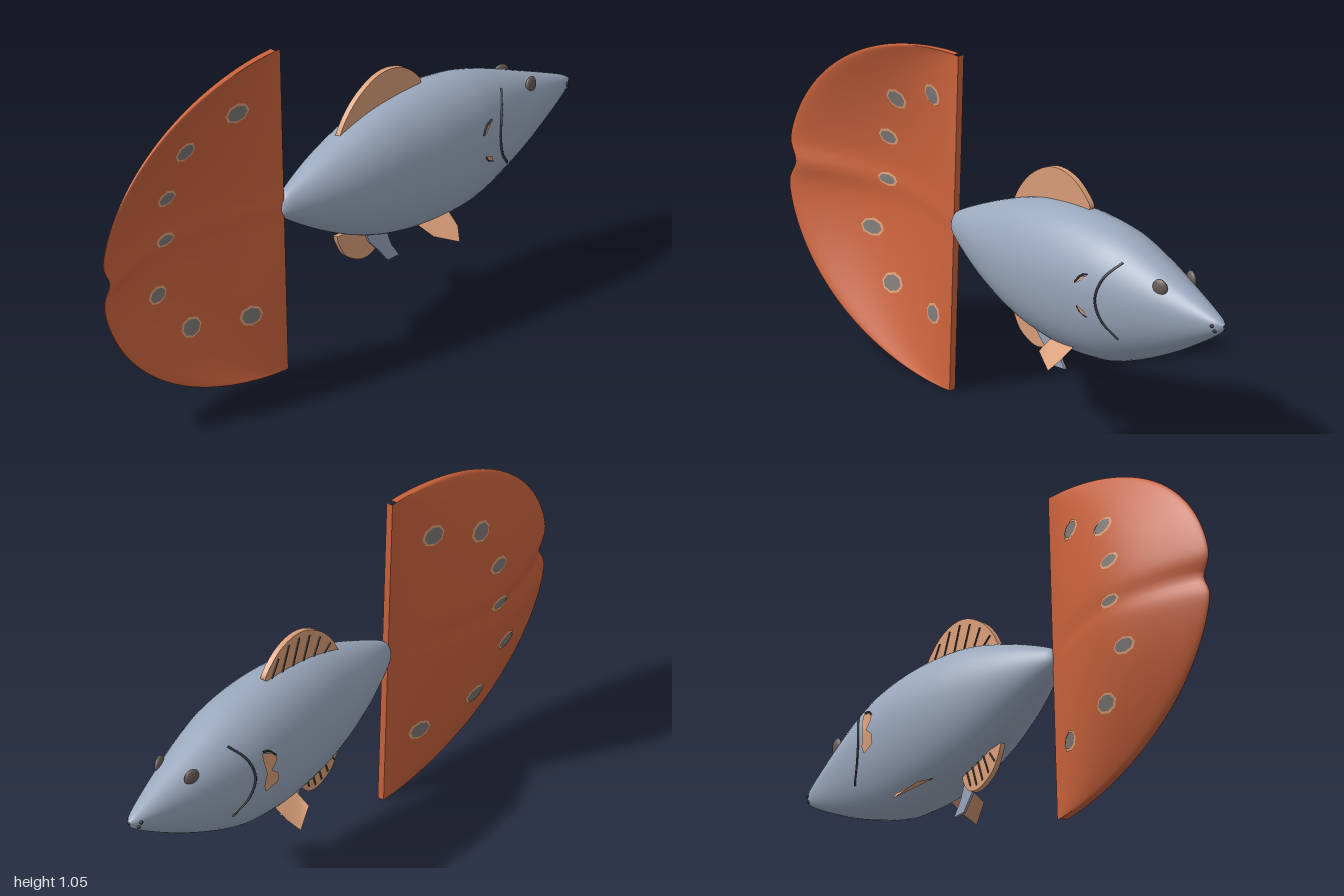
import * as THREE from 'three';
import { ParametricGeometry } from 'three/addons/geometries/ParametricGeometry.js';

const mat = (name, color, side = THREE.FrontSide) => {
  const m = new THREE.MeshStandardMaterial({ color, side });
  m.name = name;
  return m;
};
const V = (x, y, z) => new THREE.Vector3(x, y, z);

// Body stations: x, top, bottom, half width
const STATIONS = [
  [-0.245, 0.535, 0.525, 0.004], [-0.235, 0.562, 0.502, 0.022], [-0.2, 0.585, 0.475, 0.042],
  [-0.1, 0.63, 0.415, 0.08], [0, 0.668, 0.365, 0.108], [0.1, 0.7, 0.325, 0.128],
  [0.2, 0.72, 0.3, 0.142], [0.35, 0.73, 0.282, 0.152], [0.5, 0.718, 0.29, 0.147],
  [0.6, 0.695, 0.317, 0.131], [0.7, 0.66, 0.355, 0.108], [0.8, 0.62, 0.4, 0.08],
  [0.9, 0.58, 0.453, 0.049], [0.97, 0.55, 0.494, 0.024], [1, 0.532, 0.518, 0.004],
];
const MID = 0.528;
const sizes = new THREE.CatmullRomCurve3(STATIONS.map(s => V(s[1], s[2], s[3])), false, 'catmullrom', 0.5);
const along = new THREE.CatmullRomCurve3(STATIONS.map(s => V(s[0], 0, 0)), false, 'catmullrom', 0.5);

// Half width of the body at a given x and y
function bodyZ(x, y) {
  let lo = 0, hi = 1;
  for (let i = 0; i < 30; i++) {
    const t = (lo + hi) / 2;
    if (along.getPoint(t).x < x) lo = t; else hi = t;
  }
  const s = sizes.getPoint(lo);
  const r = y > MID ? s.x - MID : MID - s.y;
  return s.z * Math.sqrt(Math.max(0, 1 - ((y - MID) / r) ** 2));
}

// Tail fin: straight front edge, round notched rear edge, billowing towards -z
const EDGE = -0.235, TAIL_Y = 0.53, TAIL_R = 0.525, HALF = 0.011;
const tailWidth = v => 0.775 * Math.sqrt(Math.max(0, 1 - v * v)) - 0.035 * Math.exp(-((v / 0.08) ** 2));
const tailZ = (u, v) => -0.017 * v - Math.sin(Math.PI * u) *
  (0.102 * Math.cos(v * Math.PI / 2) - 0.01 * (1 - u) * Math.exp(-((v / 0.07) ** 2)));

export function createModel() {
  const skin = mat('blue grey skin', 0x9aa8bd);
  const greyFin = mat('grey fin', 0x98a3b8, THREE.DoubleSide);
  const orange = mat('orange tail', 0xc9623c);
  const tan = mat('tan fin', 0xd99e78, THREE.DoubleSide);
  const spotGrey = mat('grey spot', 0x7b7775, THREE.DoubleSide);
  const eyeBrown = mat('eye brown', 0x675c58);
  const dark = mat('dark line', 0x363a42);
  const rayBrown = mat('ray brown', 0x5a4336);

  const model = new THREE.Group();
  const add = (name, geometry, material) => {
    const mesh = new THREE.Mesh(geometry, material);
    mesh.name = name;
    model.add(mesh);
    return mesh;
  };

  // Body
  add('body', new ParametricGeometry((u, v, p) => {
    const s = sizes.getPoint(u), a = v * Math.PI * 2, sn = Math.sin(a);
    p.set(along.getPoint(u).x, MID + sn * (sn > 0 ? s.x - MID : MID - s.y), s.z * Math.cos(a));
  }, 70, 48), skin);

  // Tail faces, closed at the rear by a rounded rim
  for (const side of [1, -1]) {
    add(side > 0 ? 'tailFront' : 'tailBack', new ParametricGeometry((s, t, p) => {
      const u = Math.sin((side > 0 ? 1 - s : s) * Math.PI / 2);
      const v = 0.9997 * Math.sin((t - 0.5) * Math.PI);
      const h = HALF * Math.sqrt(Math.max(0, 1 - u ** 24));
      p.set(EDGE - u * tailWidth(v), TAIL_Y + TAIL_R * v, tailZ(u, v) + side * h);
    }, 36, 90), orange);
  }
  add('tailEdge', new ParametricGeometry((s, t, p) => {
    const v = 2 * s - 1;
    p.set(EDGE, TAIL_Y + TAIL_R * v, tailZ(0, v) + (2 * t - 1) * HALF);
  }, 10, 1), orange);

  // Tail spots: grey patches with a tan border on both faces
  const spots = [
    [-0.39, 0.885, 0.036, 0.027], [-0.585, 0.815, 0.036, 0.025], [-0.645, 0.675, 0.034, 0.019],
    [-0.65, 0.54, 0.034, 0.014], [-0.7, 0.38, 0.037, 0.02], [-0.58, 0.24, 0.037, 0.024], [-0.355, 0.21, 0.033, 0.025],
  ];
  const patch = (cx, cy, rx, ry, side, lift) => {
    const g = new THREE.CircleGeometry(1, 16), p = g.attributes.position;
    for (let i = 0; i < p.count; i++) {
      const k = i % 2 ? 1 : 0.92;
      const x = cx + p.getX(i) * rx * k, y = cy + p.getY(i) * ry * k;
      const v = (y - TAIL_Y) / TAIL_R;
      p.setXYZ(i, x, y, tailZ((EDGE - x) / tailWidth(v), v) + side * (HALF + lift));
    }
    g.computeVertexNormals();
    return g;
  };
  for (const [x, y, rx, ry] of spots) {
    for (const side of [1, -1]) {
      add('spotBorder', patch(x, y, rx + 0.008, ry + 0.007, side, 0.002), tan);
      add('spot', patch(x, y, rx, ry, side, 0.004), spotGrey);
    }
  }

  // Upright fins on the centre line
  const finShape = (start, curve) => {
    const s = new THREE.Shape();
    s.moveTo(...start);
    s.splineThru(curve.map(c => new THREE.Vector2(...c)));
    s.closePath();
    return s;
  };
  const finPlate = (name, shape, depth, z, material) => add(name,
    new THREE.ExtrudeGeometry(shape, { depth, bevelEnabled: false, curveSegments: 24 }).translate(0, 0, z), material);
  finPlate('dorsalFin', finShape([0.02, 0.67], [[0.05, 0.72], [0.1, 0.772], [0.17, 0.812], [0.235, 0.822],
    [0.3, 0.805], [0.35, 0.768], [0.372, 0.735], [0.34, 0.715]]), 0.018, -0.024, tan);
  finPlate('analFin', finShape([0.01, 0.345], [[0.02, 0.315], [0.05, 0.268], [0.1, 0.24], [0.14, 0.235],
    [0.175, 0.25], [0.2, 0.29], [0.2, 0.33]]), 0.016, -0.022, tan);
  const vent = new THREE.Shape([[0.12, 0.33], [0.14, 0.285], [0.18, 0.245], [0.22, 0.198], [0.268, 0.2],
    [0.235, 0.245], [0.215, 0.295], [0.21, 0.33]].map(c => new THREE.Vector2(...c)));
  finPlate('ventFin', vent, 0.008, -0.004, greyFin);

  // Fin rays on the back face
  const ray = (x0, y0, x1, y1, z) => {
    const m = add('finRay', new THREE.BoxGeometry(Math.hypot(x1 - x0, y1 - y0), 0.005, 0.004), rayBrown);
    m.position.set((x0 + x1) / 2, (y0 + y1) / 2, z);
    m.rotation.z = Math.atan2(y1 - y0, x1 - x0);
  };
  [[0.06, 0.715], [0.11, 0.76], [0.16, 0.79], [0.21, 0.805], [0.26, 0.802], [0.31, 0.78]]
    .forEach(([x, y], i) => ray(x + 0.035, 0.69 + i * 0.006, x, y, -0.025));
  [[0.04, 0.295], [0.07, 0.268], [0.1, 0.255], [0.13, 0.25], [0.16, 0.258]]
    .forEach(([x, y]) => ray(x + 0.025, 0.33, x, y, -0.023));

  // Flat plate moulded to the flank
  const flank = (points, side, lift) => {
    const g = new THREE.ShapeGeometry(new THREE.Shape(points.map(c => new THREE.Vector2(...c))));
    const p = g.attributes.position;
    for (let i = 0; i < p.count; i++) p.setZ(i, side * (bodyZ(p.getX(i), p.getY(i)) + lift));
    g.computeVertexNormals();
    return g;
  };
  const line = (name, points, side, radius, lift) => add(name, new THREE.TubeGeometry(
    new THREE.CatmullRomCurve3(points.map(([x, y]) => V(x, y, side * (bodyZ(x, y) + lift)))), 24, radius, 6), dark);

  // Pectoral fins: mostly sunk on the front flank, open on the back flank
  add('pectoralFinBack', flank([[0.535, 0.6], [0.485, 0.585], [0.48, 0.56], [0.505, 0.535], [0.475, 0.51],
    [0.475, 0.48], [0.525, 0.465], [0.535, 0.49], [0.525, 0.53], [0.535, 0.57]], -1, 0.008), tan);
  line('pectoralEdgeBack', [[0.53, 0.603], [0.505, 0.597], [0.482, 0.575]], -1, 0.003, 0.007);
  add('pectoralFinFront', flank([[0.53, 0.597], [0.505, 0.587], [0.482, 0.562], [0.5, 0.572]], 1, 0.004), tan);
  add('pectoralFinFront', flank([[0.49, 0.498], [0.505, 0.475], [0.53, 0.465], [0.522, 0.484]], 1, 0.004), tan);
  line('pectoralEdgeFront', [[0.53, 0.6], [0.505, 0.592], [0.483, 0.567]], 1, 0.003, 0.003);
  line('pectoralEdgeFront', [[0.492, 0.493], [0.507, 0.475], [0.53, 0.465]], 1, 0.002, 0.003);

  // Mirrored parts
  for (const side of [1, -1]) {
    // Pelvic fin
    const pelvic = new THREE.BufferGeometry().setFromPoints([
      [0.28, 0.315, 0.07], [0.4, 0.325, 0.08], [0.395, 0.292, 0.125], [0.37, 0.257, 0.157], [0.29, 0.292, 0.125],
    ].map(([x, y, z]) => V(x, y, side * z)));
    pelvic.setIndex([0, 1, 2, 0, 2, 3, 0, 3, 4]);
    pelvic.computeVertexNormals();
    add('pelvicFin', pelvic, tan);

    // Gill line
    line('gillLine', [[0.628, 0.65], [0.585, 0.597], [0.565, 0.53], [0.582, 0.467], [0.63, 0.412]], side, 0.004, 0.001);

    // Eye
    const eye = add('eye', new THREE.SphereGeometry(0.027, 18, 12), eyeBrown);
    eye.scale.z = 0.4;
    eye.position.set(0.775, 0.605, side * (bodyZ(0.775, 0.605) + 0.004));
    eye.rotation.y = side * 0.25;

    // Nostrils
    for (const [x, y] of [[0.97, 0.527], [0.975, 0.511]]) {
      const nostril = add('nostril', new THREE.SphereGeometry(0.006, 8, 6), dark);
      nostril.position.set(x, y, side * bodyZ(x, y));
    }
  }
  return model;
}
